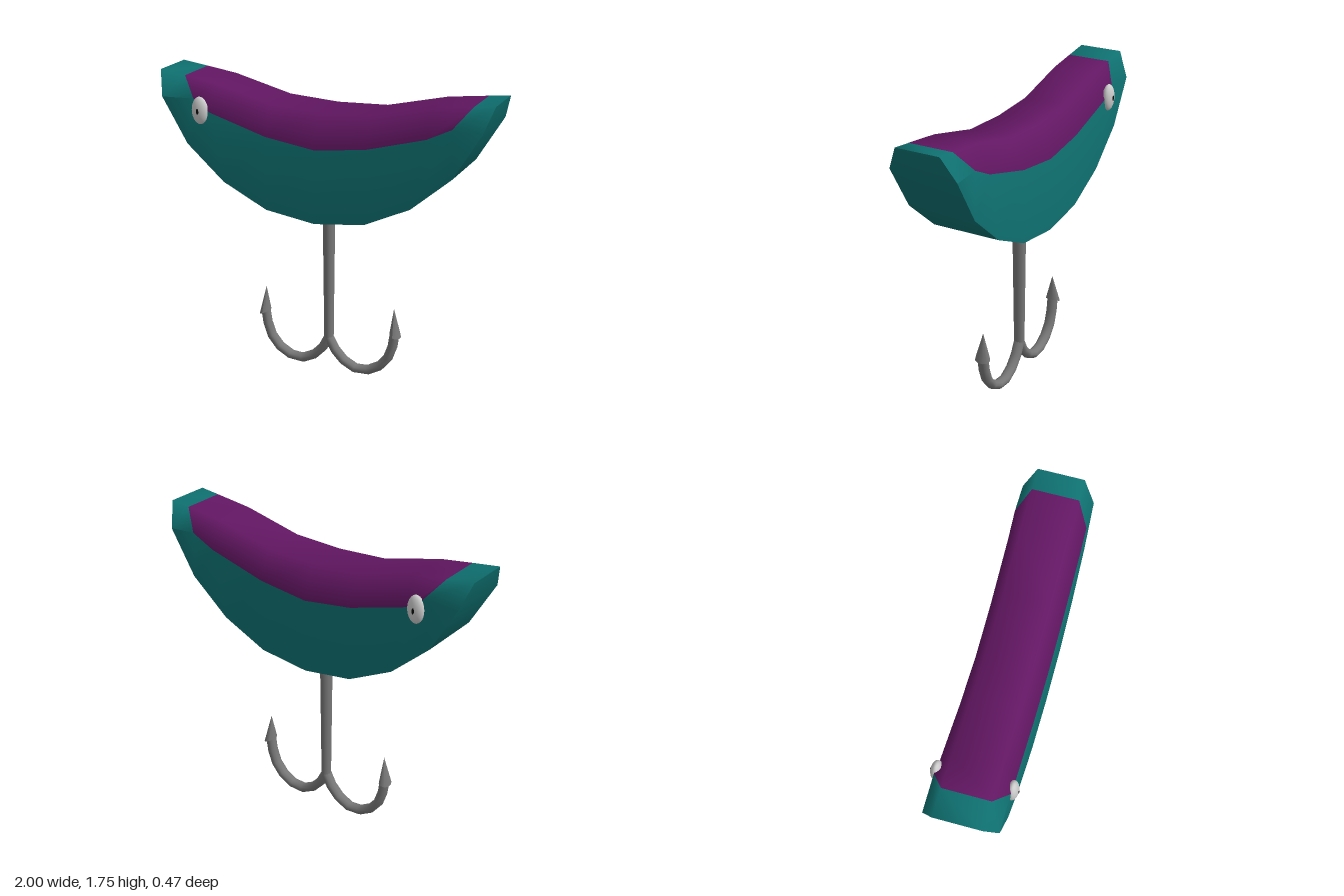
import * as THREE from 'three';

const mat = (color) => new THREE.MeshStandardMaterial({ color });
const teal = mat(0x0f7070), purple = mat(0x631763), steel = mat(0x777777);
const eyeWhite = mat(0xcccccc), black = mat(0x080808);

// Half widths of the top edge and of the flat sides
const TOP_Z = 0.13, SIDE_Z = 0.2;

// Stations along x: [x, y] of the top edge, the shoulder and the bottom edge
const top = [[-1, 1.76], [-0.84, 1.74], [-0.65, 1.715], [-0.3, 1.63], [0, 1.615],
  [0.3, 1.63], [0.65, 1.715], [0.88, 1.745], [1, 1.76]];
const shoulder = [[-0.955, 1.62], [-0.75, 1.63], [-0.65, 1.56], [-0.3, 1.46], [0, 1.42],
  [0.3, 1.46], [0.65, 1.56], [0.79, 1.63], [0.955, 1.62]];
const bottom = [[-0.955, 1.62], [-0.8, 1.36], [-0.57, 1.16], [-0.3, 1.03], [0, 0.99],
  [0.3, 1.03], [0.57, 1.16], [0.8, 1.36], [0.955, 1.62]];

function named(name, geometry, material) {
  const mesh = new THREE.Mesh(geometry, material);
  mesh.name = name;
  return mesh;
}

// Skins a list of equal cross-sections; pick(i, j) chooses the quads to keep
function skin(sections, pick = () => true) {
  const n = sections[0].length, all = [], kept = [];
  for (let i = 0; i < sections.length - 1; i++) {
    for (let j = 0; j < n - 1; j++) {
      const a = i * n + j, b = a + n;
      const quad = [a, b, b + 1, a, b + 1, a + 1];
      all.push(...quad);
      if (pick(i, j)) kept.push(...quad);
    }
  }
  const g = new THREE.BufferGeometry();
  g.setAttribute('position', new THREE.Float32BufferAttribute(sections.flat(2), 3));
  // normals come from the whole skin so that both colours shade as one surface
  g.setIndex(all);
  g.computeVertexNormals();
  g.setIndex(kept);
  return g;
}

function createBody() {
  const body = new THREE.Group();
  body.name = 'body';
  const hull = top.map((t, i) => [
    [...bottom[i], SIDE_Z], [...shoulder[i], SIDE_Z], [...t, TOP_Z],
    [...t, -TOP_Z], [...shoulder[i], -SIDE_Z], [...bottom[i], -SIDE_Z],
  ]);
  const isBack = (i, j) => i > 0 && i < top.length - 2 && j > 0 && j < 4;
  body.add(named('sides', skin(hull, (i, j) => !isBack(i, j)), teal));
  body.add(named('topStripe', skin(hull, isBack), purple));

  // Belly runs up into the narrowed end faces
  const across = (p, z) => [[...p, -z], [...p, z]];
  const belly = [across(top[0], TOP_Z), ...bottom.map((p) => across(p, SIDE_Z)),
    across(top[top.length - 1], TOP_Z)];
  body.add(named('belly', skin(belly), teal));
  return body;
}

function createEye(side) {
  const eye = new THREE.Group();
  eye.name = side > 0 ? 'frontEye' : 'backEye';
  const ball = named('eyeball', new THREE.SphereGeometry(1, 20, 14), eyeWhite);
  ball.scale.set(0.05, 0.08, 0.032);
  const pupil = named('pupil', new THREE.SphereGeometry(1, 12, 8), black);
  pupil.scale.set(0.008, 0.018, 0.005);
  pupil.position.z = side * 0.03;
  eye.add(ball, pupil);
  eye.position.set(-0.71, 1.565, side * 0.2);
  return eye;
}

function createProng(side) {
  const prong = new THREE.Group();
  prong.name = side > 0 ? 'leftProng' : 'rightProng';
  const path = [[0, 0.21], [0.045, 0.128], [0.12, 0.06], [0.2, 0.035], [0.285, 0.058],
    [0.36, 0.12], [0.4, 0.205], [0.418, 0.31]];
  const curve = new THREE.CatmullRomCurve3(path.map(([x, y]) => new THREE.Vector3(side * x, y, 0)));
  prong.add(named('bend', new THREE.TubeGeometry(curve, 8, 0.028, 10), steel));

  // Barbed point: a cone whose base slants down towards the outside
  const cone = new THREE.ConeGeometry(1, 0.165, 10);
  const p = cone.attributes.position;
  for (let i = 0; i < p.count; i++) {
    const x = p.getX(i), y = p.getY(i);
    const k = 0.5 - y / 0.165;
    p.setXYZ(i, side * 0.01 * k + x * 0.032, y - side * x * 0.012 * k, p.getZ(i) * 0.04);
  }
  cone.computeVertexNormals();
  const barb = named('barb', cone, steel);
  barb.position.set(side * 0.411, 0.383, 0);
  prong.add(barb);
  return prong;
}

function createHook() {
  const hook = new THREE.Group();
  hook.name = 'hook';
  const shank = named('shank', new THREE.CylinderGeometry(0.035, 0.027, 0.83, 12), steel);
  shank.position.y = 0.615;
  hook.add(shank, createProng(1), createProng(-1));
  hook.scale.z = 1.2; // slightly deeper than wide
  return hook;
}

export function createModel() {
  const model = new THREE.Group();
  model.name = 'fishingLure';
  model.add(createBody(), createEye(1), createEye(-1), createHook());
  return model;
}
